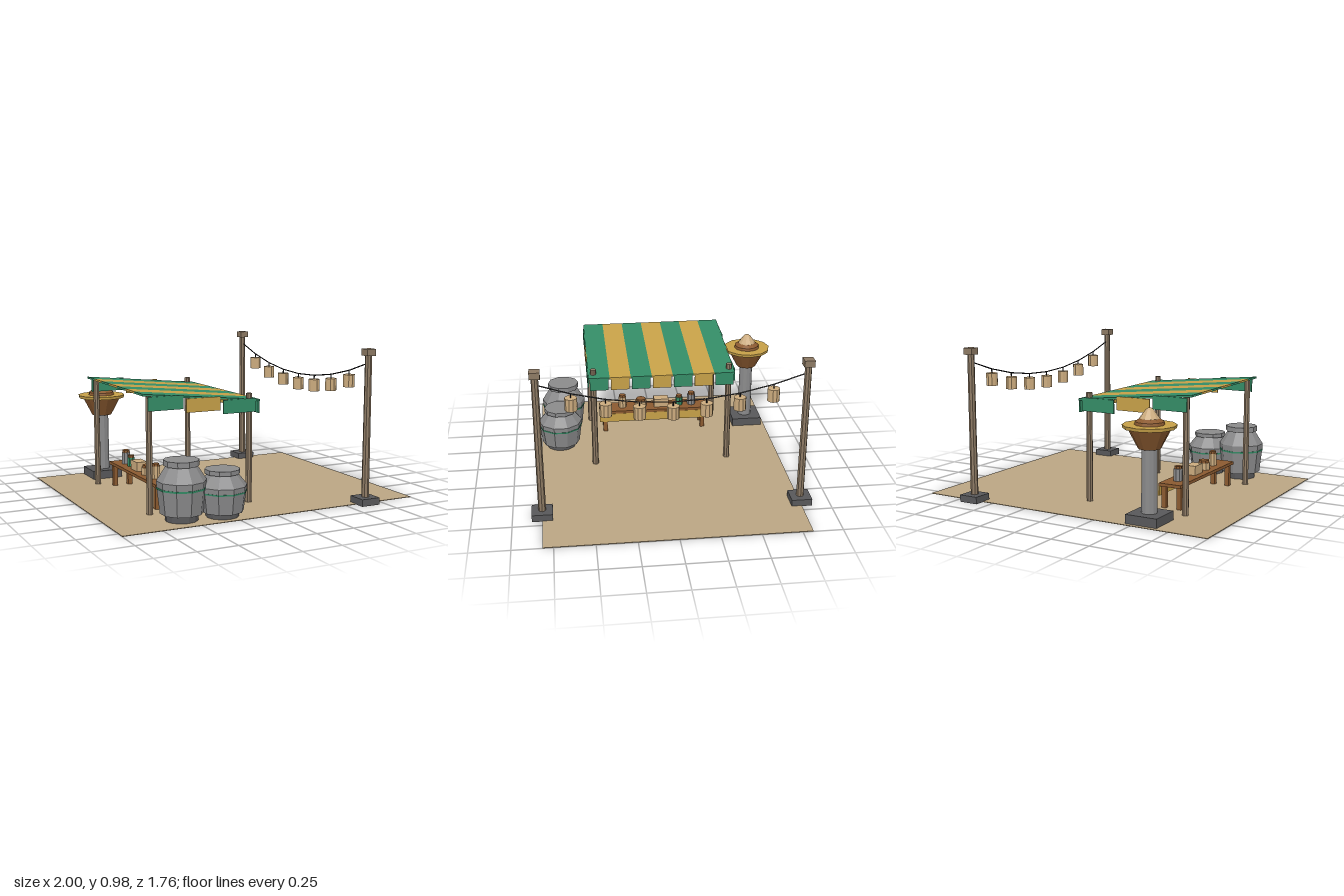
import * as THREE from 'three';

const paint = (name, color) => {
  const m = new THREE.MeshStandardMaterial({ color, flatShading: true });
  m.name = name;
  return m;
};

export function createModel() {
  const sand = paint('sand', 0xbaa583);
  const green = paint('green cloth', 0x348c66);
  const mustard = paint('mustard cloth', 0xc6a048);
  const brown = paint('brown wood', 0x8b5a30);
  const stone = paint('dark stone', 0x58585a);
  const gray = paint('gray clay', 0x8a8a8b);
  const tan = paint('pale tan', 0xcbab7e);
  const wood = paint('weathered wood', 0x8d7a64);
  const black = paint('black cord', 0x17171a);

  const model = new THREE.Group();
  model.name = 'marketStall';

  const add = (parent, name, geo, mat, x = 0, y = 0, z = 0) => {
    const m = new THREE.Mesh(geo, mat);
    m.name = name;
    m.position.set(x, y, z);
    parent.add(m);
    return m;
  };
  const group = (name, x = 0, y = 0, z = 0, parent = model) => {
    const g = new THREE.Group();
    g.name = name;
    g.position.set(x, y, z);
    parent.add(g);
    return g;
  };
  // Boxes and cylinders are placed by the height of their bottom
  const box = (p, name, mat, w, h, d, x, y, z) =>
    add(p, name, new THREE.BoxGeometry(w, h, d), mat, x, y + h / 2, z);
  const cyl = (p, name, mat, rTop, rBottom, h, sides, x, y, z) =>
    add(p, name, new THREE.CylinderGeometry(rTop, rBottom, h, sides), mat, x, y + h / 2, z);
  const lathe = (p, name, mat, pts, sides) =>
    add(p, name, new THREE.LatheGeometry(pts.map(([r, y]) => new THREE.Vector2(r, y)), sides), mat);

  box(model, 'ground', sand, 2, 0.004, 1.63, 0, 0, 0);

  // Two posts that carry the lantern cord
  const postX = 0.64;
  for (const z of [-0.815, 0.815]) {
    const post = group('lanternPost', postX, 0, z);
    box(post, 'postBase', stone, 0.13, 0.045, 0.13, 0, 0, 0);
    cyl(post, 'postShaft', wood, 0.022, 0.024, 0.9, 8, 0, 0.04, 0);
    box(post, 'postCap', wood, 0.064, 0.042, 0.064, 0, 0.938, 0);
  }

  // Sagging cord with seven lanterns
  const cordY = z => 0.741 + 0.228 * z * z;
  const knots = [-0.81, -0.61, -0.405, -0.203, 0, 0.203, 0.405, 0.61, 0.81];
  const cord = new THREE.CurvePath();
  for (let i = 1; i < knots.length; i++) {
    const [a, b] = [knots[i - 1], knots[i]];
    cord.add(new THREE.LineCurve3(
      new THREE.Vector3(postX, cordY(a), a), new THREE.Vector3(postX, cordY(b), b)));
  }
  add(model, 'cord', new THREE.TubeGeometry(cord, 64, 0.004, 5), black);
  for (const z of knots.slice(1, -1)) {
    const lantern = group('lantern', postX, cordY(z), z);
    cyl(lantern, 'lanternHook', black, 0.004, 0.004, 0.03, 5, 0, -0.03, 0);
    cyl(lantern, 'lanternBody', tan, 0.038, 0.038, 0.08, 10, 0, -0.106, 0);
  }

  // Four awning poles
  for (const z of [-0.452, 0.452]) {
    cyl(model, 'frontPole', wood, 0.02, 0.021, 0.7, 8, 0, 0, z);
    cyl(model, 'backPole', wood, 0.02, 0.021, 0.725, 8, -0.68, 0, z);
  }

  // Sloping striped awning
  const xBack = -0.73, xFront = 0.06, yBack = 0.742, yFront = 0.662;
  const roofY = x => yBack + (x - xBack) / (xFront - xBack) * (yFront - yBack);
  const slope = Math.atan2(yFront - yBack, xFront - xBack);
  const roof = group('awning', (xBack + xFront) / 2, (yBack + yFront) / 2, 0);
  roof.rotation.z = slope;
  const stripe = 0.97 / 7;
  for (let i = 0; i < 7; i++) {
    const z = (i - 3) * stripe;
    const cloth = i % 2 ? mustard : green;
    box(roof, 'awningStripe', cloth, Math.hypot(xFront - xBack, yFront - yBack), 0.012, stripe, 0, -0.012, z);
    box(model, 'frontFlap', cloth, 0.008, 0.085, 0.122, xFront - 0.004, 0.574, z);
  }
  for (const z of [-0.486, 0.486]) {
    [-0.585, -0.335, -0.085].forEach((x, i) =>
      box(model, 'sideFlap', i % 2 ? mustard : green, 0.23, 0.085, 0.008, x, roofY(x) - 0.09, z));
  }

  // Low table with a cloth along the front
  const table = group('table', -0.54, 0, 0);
  box(table, 'tableTop', brown, 0.15, 0.02, 0.79, 0, 0.145, 0);
  box(table, 'tableCloth', mustard, 0.008, 0.062, 0.79, 0.073, 0.084, 0);
  for (const x of [-0.052, 0.052]) for (const z of [-0.355, 0.355])
    box(table, 'tableLeg', brown, 0.03, 0.145, 0.03, x, 0, z);

  // Goods on the table: z, radius, height, colour
  const goods = [[0.225, 0.028, 0.08, tan], [0.09, 0.042, 0.045, tan],
    [-0.19, 0.026, 0.058, green], [-0.28, 0.029, 0.077, gray]];
  for (const [z, r, h, mat] of goods) {
    cyl(table, 'potBody', mat, r, r, h, 8, 0, 0.165, z);
    cyl(table, 'potLid', brown, r * 0.83, r * 0.83, 0.016, 8, 0, 0.165 + h, z);
  }
  box(table, 'parcel', tan, 0.07, 0.06, 0.105, 0, 0.165, -0.057);

  // Two large lidded jars
  for (const [x, z, s] of [[-0.56, 0.65, 1], [-0.305, 0.68, 0.8]]) {
    const jar = group('jar', x, 0, z);
    jar.scale.y = s;
    cyl(jar, 'jarFoot', stone, 0.1, 0.1, 0.05, 12, 0, 0, 0);
    lathe(jar, 'jarBody', gray,
      [[0, 0.045], [0.13, 0.047], [0.147, 0.2], [0.15, 0.245], [0.092, 0.335], [0, 0.336]], 10);
    cyl(jar, 'jarBand', green, 0.1505, 0.1495, 0.011, 10, 0, 0.195, 0);
    cyl(jar, 'jarLid', gray, 0.108, 0.108, 0.034, 10, 0, 0.334, 0);
  }

  // Pedestal with a wide bowl
  const pedestal = group('pedestal', -0.56, 0, -0.685);
  box(pedestal, 'pedestalBase', stone, 0.21, 0.06, 0.21, 0, 0, 0);
  cyl(pedestal, 'pedestalColumn', gray, 0.046, 0.048, 0.39, 12, 0, 0.06, 0);
  cyl(pedestal, 'bowl', brown, 0.132, 0.068, 0.122, 12, 0, 0.445, 0);
  cyl(pedestal, 'bowlRim', mustard, 0.162, 0.158, 0.02, 12, 0, 0.566, 0);
  lathe(pedestal, 'bowlCollar', brown, [[0.09, 0.584], [0.086, 0.604], [0.06, 0.622], [0, 0.622]], 12);
  lathe(pedestal, 'bowlHeap', tan, [[0.066, 0.61], [0.058, 0.627], [0.024, 0.673], [0.012, 0.682], [0, 0.685]], 10);

  return model;
}
